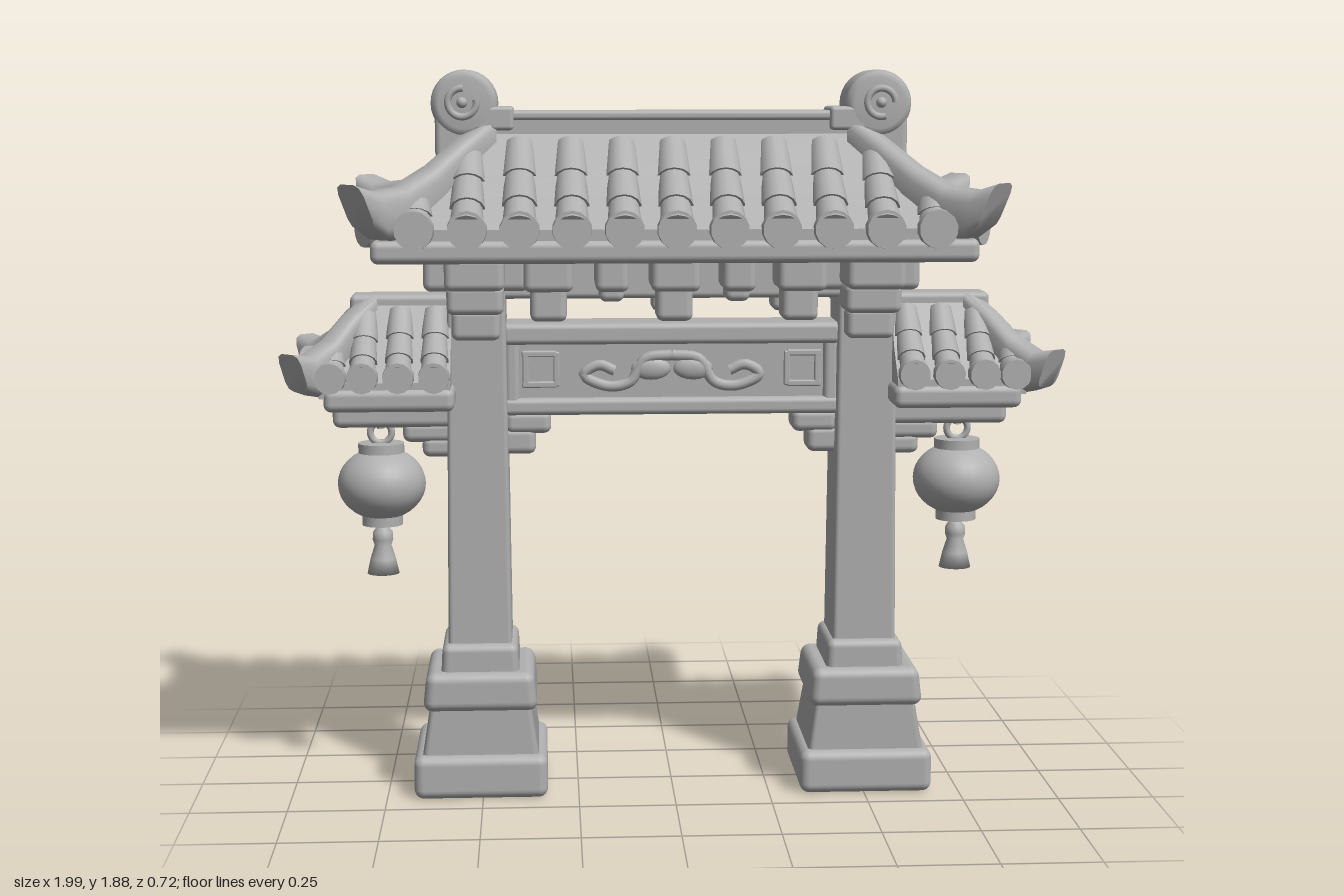
import * as THREE from 'three';
import { toCreasedNormals } from 'three/addons/utils/BufferGeometryUtils.js';
import { RoundedBoxGeometry } from 'three/addons/geometries/RoundedBoxGeometry.js';

const stone = new THREE.MeshStandardMaterial({ color: 0xb0b0b0 });
stone.name = 'grey stone';
const V = (x, y, z) => new THREE.Vector3(x, y, z);

function add(parent, name, geo, x = 0, y = 0, z = 0) {
  const m = new THREE.Mesh(geo, stone);
  m.name = name;
  m.position.set(x, y, z);
  parent.add(m);
  return m;
}

// Rounded block given by its extents; taper scales the top in x and z
function block(parent, name, x0, x1, y0, y1, z0, z1, r = 0.015, taper = 1) {
  const h = y1 - y0;
  const g = new RoundedBoxGeometry(x1 - x0, h, z1 - z0, 3, r);
  if (taper !== 1) {
    const p = g.attributes.position;
    for (let i = 0; i < p.count; i++) {
      const s = 1 + (taper - 1) * (p.getY(i) / h + 0.5);
      p.setX(i, p.getX(i) * s);
      p.setZ(i, p.getZ(i) * s);
    }
  }
  return add(parent, name, g, (x0 + x1) / 2, (y0 + y1) / 2, (z0 + z1) / 2);
}

// Closed skin through rings of equal point counts
function loft(rings, crease) {
  const n = rings[0].length, idx = [], last = (rings.length - 1) * n;
  for (let i = 0; i < rings.length - 1; i++)
    for (let j = 0; j < n; j++) {
      const a = i * n + j, b = i * n + (j + 1) % n;
      idx.push(a, b, b + n, a, b + n, a + n);
    }
  for (let j = 1; j < n - 1; j++) idx.push(0, j + 1, j, last, last + j, last + j + 1);
  const g = new THREE.BufferGeometry().setFromPoints(rings.flat());
  g.setIndex(idx);
  return toCreasedNormals(g, crease);
}

// Cylinder between two points
function rod(parent, name, a, b, ra, rb) {
  const d = b.clone().sub(a);
  const m = add(parent, name, new THREE.CylinderGeometry(rb, ra, d.length(), 14));
  m.position.copy(a).add(b).multiplyScalar(0.5);
  m.quaternion.setFromUnitVectors(V(0, 1, 0), d.normalize());
}

// Row of overlapping barrel tiles from ridge to eave, closed by a round end tile
function tileRow(parent, a, b, r) {
  const at = t => a.clone().lerp(b, t).add(V(0, -0.07 * t * (1 - t), 0));
  for (let i = 0; i < 3; i++) rod(parent, 'barrelTile', at(i / 3), at((i + 1) / 3), r * 0.86, r);
  const out = V(b.x - a.x, 0, b.z - a.z).normalize().multiplyScalar(0.018);
  rod(parent, 'endTile', b.clone().sub(out), b.clone().add(out), r * 1.12, r * 1.08);
}

// Upswept corner ridge; rows are [x, z, top, bottom, width, lean]
function hip(parent, rows, sx, sz) {
  const f = rows[0], l = rows[rows.length - 1];
  const d = V((l[0] - f[0]) * sx, 0, (l[1] - f[1]) * sz).normalize();
  const side = V(0, 1, 0).cross(d);
  const soft = c => Math.sign(c) * Math.sqrt(Math.abs(c));
  const rings = rows.map(([x, z, top, bot, w, lean]) => {
    const ring = [];
    for (let k = 0; k < 12; k++) {
      const t = (k + 0.5) / 12 * Math.PI * 2, u = soft(Math.cos(t)), v = soft(Math.sin(t));
      ring.push(V(x * sx, (top + bot) / 2 + v * (top - bot) / 2, z * sz)
        .addScaledVector(side, u * w / 2).addScaledVector(d, v * lean));
    }
    return ring;
  });
  add(parent, 'cornerRidge', loft(rings, 0.9));
}

// Sloped roof core; rows are [y, x0, x1, z]
function roofCore(parent, rows) {
  add(parent, 'roofSlope', loft(rows.map(([y, a, b, z]) =>
    [V(b, y, z), V(b, y, -z), V(a, y, -z), V(a, y, z)]), 0.5));
}

function mainRoof() {
  const g = new THREE.Group();
  g.name = 'mainRoof';
  block(g, 'eavePlate', -0.76, 0.76, 1.405, 1.465, -0.29, 0.29, 0.02);
  roofCore(g, [[1.44, -0.74, 0.74, 0.28], [1.49, -0.74, 0.74, 0.28], [1.57, -0.64, 0.64, 0.19], [1.72, -0.53, 0.53, 0.06]]);
  for (const s of [1, -1]) {
    for (let i = 0; i < 11; i++) {
      const x = -0.65 + 0.13 * i, c = Math.max(0, Math.abs(x) - 0.5);
      tileRow(g, V(x, 1.69 - c * 0.9, s * (0.06 + c)), V(x, 1.49, s * 0.295), 0.045);
    }
    for (const z of [-0.21, -0.105, 0, 0.105, 0.21])
      tileRow(g, V(s * (0.52 + Math.abs(z) * 0.5), 1.67 - Math.abs(z) * 0.4, z * 0.6), V(s * 0.765, 1.49, z), 0.043);
    for (const t of [1, -1])
      hip(g, [[0.47, 0.05, 1.76, 1.66, 0.07, 0], [0.54, 0.1, 1.71, 1.58, 0.08, 0], [0.62, 0.17, 1.64, 1.5, 0.09, 0],
        [0.69, 0.23, 1.595, 1.46, 0.105, 0], [0.75, 0.28, 1.585, 1.465, 0.12, 0.01], [0.79, 0.31, 1.605, 1.49, 0.11, 0.025]], s, t);
    // Scroll finial
    const drum = new THREE.LatheGeometry([[0, -0.083], [0.065, -0.083], [0.08, -0.075], [0.085, -0.06],
      [0.085, 0.06], [0.08, 0.075], [0.065, 0.083], [0, 0.083]].map(p => new THREE.Vector2(...p)), 32);
    add(g, 'scrollFinial', drum.rotateX(Math.PI / 2), s * 0.53, 1.798, 0);
    block(g, 'finialNeck', s * 0.53 - 0.075, s * 0.53 + 0.075, 1.66, 1.79, -0.075, 0.075);
    block(g, 'ridgeCollar', s * 0.455 - 0.05, s * 0.455 + 0.05, 1.73, 1.79, -0.082, 0.082, 0.01);
    for (const t of [1, -1]) {
      const curl = add(g, 'finialCurl', new THREE.TorusGeometry(0.036, 0.009, 8, 24, 5), s * 0.535, 1.8, t * 0.083);
      curl.rotation.z = s > 0 ? 0 : 1.5;
      add(g, 'finialBoss', new THREE.SphereGeometry(0.014, 12, 8), s * 0.535, 1.8, t * 0.083);
    }
  }
  block(g, 'ridge', -0.46, 0.46, 1.68, 1.765, -0.055, 0.055, 0.01);
  block(g, 'ridgeCap', -0.46, 0.46, 1.755, 1.78, -0.064, 0.064, 0.01);
  return g;
}

function lantern() {
  const g = new THREE.Group();
  g.name = 'lantern';
  const turn = pts => new THREE.LatheGeometry(pts.map(p => new THREE.Vector2(...p)), 28);
  add(g, 'lanternBody', new THREE.SphereGeometry(0.115, 28, 18).scale(1, 0.83, 1), 0, 0.81, 0);
  for (const [y, r] of [[0.905, 0.06], [0.713, 0.053]])
    add(g, 'lanternCap', toCreasedNormals(new THREE.CylinderGeometry(r, r, 0.025, 28), 0.6), 0, y, 0);
  add(g, 'hook', new THREE.TorusGeometry(0.028, 0.009, 8, 20), 0, 0.945, 0);
  add(g, 'hookRod', new THREE.CylinderGeometry(0.01, 0.01, 0.06, 10), 0, 0.985, 0);
  add(g, 'tassel', turn([[0, 0.57], [0.042, 0.57], [0.033, 0.61], [0.022, 0.645], [0.027, 0.66], [0.026, 0.68], [0.014, 0.695], [0, 0.71]]));
  return g;
}

// Side roof on the +x side with its arm and lantern
function sideWing() {
  const g = new THREE.Group();
  g.name = 'sideWing';
  block(g, 'eavePlate', 0.56, 0.89, 1.025, 1.085, -0.21, 0.21, 0.02);
  roofCore(g, [[1.06, 0.57, 0.9, 0.2], [1.1, 0.57, 0.92, 0.2], [1.17, 0.57, 0.87, 0.13], [1.29, 0.57, 0.8, 0.05]]);
  block(g, 'ridge', 0.56, 0.83, 1.25, 1.31, -0.055, 0.055, 0.015);
  for (const s of [1, -1]) {
    for (const x of [0.61, 0.7, 0.79, 0.87]) {
      const c = Math.max(0, x - 0.78);
      tileRow(g, V(x, 1.265 - c, s * (0.05 + c)), V(x, 1.115, s * 0.215), 0.036);
    }
    hip(g, [[0.78, 0.04, 1.31, 1.22, 0.06, 0], [0.83, 0.09, 1.265, 1.16, 0.07, 0], [0.88, 0.145, 1.205, 1.09, 0.08, 0],
      [0.925, 0.19, 1.17, 1.065, 0.09, 0.008], [0.96, 0.23, 1.18, 1.08, 0.085, 0.018]], 1, s);
  }
  for (const z of [-0.12, 0, 0.12])
    tileRow(g, V(0.8 + Math.abs(z) * 0.2, 1.255 - Math.abs(z) * 0.3, z * 0.5), V(0.945, 1.115, z), 0.042);
  block(g, 'bracketArm', 0.56, 0.88, 0.965, 1.035, -0.07, 0.07, 0.02);
  block(g, 'bracketFoot', 0.56, 0.7, 0.925, 0.98, -0.06, 0.06, 0.02);
  block(g, 'bracketToe', 0.56, 0.65, 0.885, 0.94, -0.055, 0.055, 0.02);
  const l = lantern();
  l.position.x = 0.76;
  g.add(l);
  return g;
}

function pillar(x) {
  const g = new THREE.Group();
  g.name = 'pillar';
  g.position.x = x;
  const b = (name, w, d, y0, y1, r, taper) => block(g, name, -w, w, y0, y1, -d, d, r, taper);
  b('plinth', 0.174, 0.18, 0, 0.115, 0.025);
  b('pedestal', 0.155, 0.16, 0.09, 0.25, 0.015, 0.84);
  b('pedestalBand', 0.15, 0.165, 0.23, 0.33, 0.025, 0.93);
  b('pedestalTop', 0.103, 0.13, 0.3, 0.4, 0.02, 0.95);
  b('shaft', 0.083, 0.102, 0.38, 1.32, 0.012, 0.9);
  // Stepped bracket capital
  b('capitalArm', 0.062, 0.155, 1.2, 1.28, 0.018);
  b('capitalArm', 0.072, 0.205, 1.27, 1.345, 0.018);
  b('capitalArm', 0.075, 0.26, 1.335, 1.42, 0.018);
  b('capitalCrossArm', 0.135, 0.1, 1.32, 1.41, 0.02);
  return g;
}

function centreBeam() {
  const g = new THREE.Group();
  g.name = 'centreBeam';
  block(g, 'panel', -0.44, 0.44, 1.0, 1.21, -0.05, 0.05);
  block(g, 'topRail', -0.44, 0.44, 1.18, 1.235, -0.078, 0.078);
  block(g, 'bottomRail', -0.44, 0.44, 0.995, 1.04, -0.07, 0.07);
  for (const s of [1, -1]) {
    block(g, 'panelStile', s * 0.415 - 0.02, s * 0.415 + 0.02, 1.0, 1.21, -0.066, 0.066);
    // Stepped scroll brackets under the beam
    block(g, 'cornerBracket', s * 0.375 - 0.06, s * 0.375 + 0.06, 0.945, 1.005, -0.055, 0.055, 0.02);
    block(g, 'cornerBracket', s * 0.4 - 0.045, s * 0.4 + 0.045, 0.89, 0.96, -0.05, 0.05, 0.02);
    for (const z of [0.052, -0.052]) {
      // Key fret and cloud carving
      for (const y of [1.075, 1.155])
        block(g, 'fretBar', s * 0.345 - 0.045, s * 0.345 + 0.045, y - 0.008, y + 0.008, z - 0.01, z + 0.01, 0.004);
      for (const x of [0.38, 0.3])
        block(g, 'fretPost', s * x - 0.008, s * x + 0.008, 1.07, 1.16, z - 0.01, z + 0.01, 0.004);
      const path = new THREE.CatmullRomCurve3([[0, 1.15], [0.07, 1.14], [0.11, 1.08], [0.17, 1.07], [0.23, 1.1], [0.19, 1.125], [0.15, 1.11]]
        .map(([x, y]) => V(s * x, y, z)));
      add(g, 'cloudScroll', new THREE.TubeGeometry(path, 32, 0.014, 8));
      add(g, 'cloudPuff', new THREE.SphereGeometry(0.04, 16, 10).scale(1.3, 0.75, 0.4), s * 0.055, 1.115, z);
    }
  }
  return g;
}

function eaveBrackets() {
  const g = new THREE.Group();
  g.name = 'eaveBrackets';
  block(g, 'eaveBeam', -0.5, 0.5, 1.3, 1.42, -0.085, 0.085);
  for (const s of [1, -1])
    for (let i = -2; i <= 2; i++) {
      const x = i * 0.16, w = i % 2 ? 0.042 : 0.062;
      block(g, 'bracketBlock', x - w, x + w, 1.33, 1.42, s * 0.15 - 0.09, s * 0.15 + 0.09, 0.018);
      block(g, 'bracketDrop', x - w * 0.75, x + w * 0.75, i % 2 ? 1.3 : 1.25, 1.36, s * 0.13 - 0.05, s * 0.13 + 0.05, 0.018);
    }
  return g;
}

export function createModel() {
  const model = new THREE.Group();
  model.name = 'gateway';
  const left = sideWing(), right = sideWing();
  right.rotation.y = Math.PI;
  model.add(pillar(0.505), pillar(-0.505), centreBeam(), eaveBrackets(), mainRoof(), left, right);
  return model;
}
